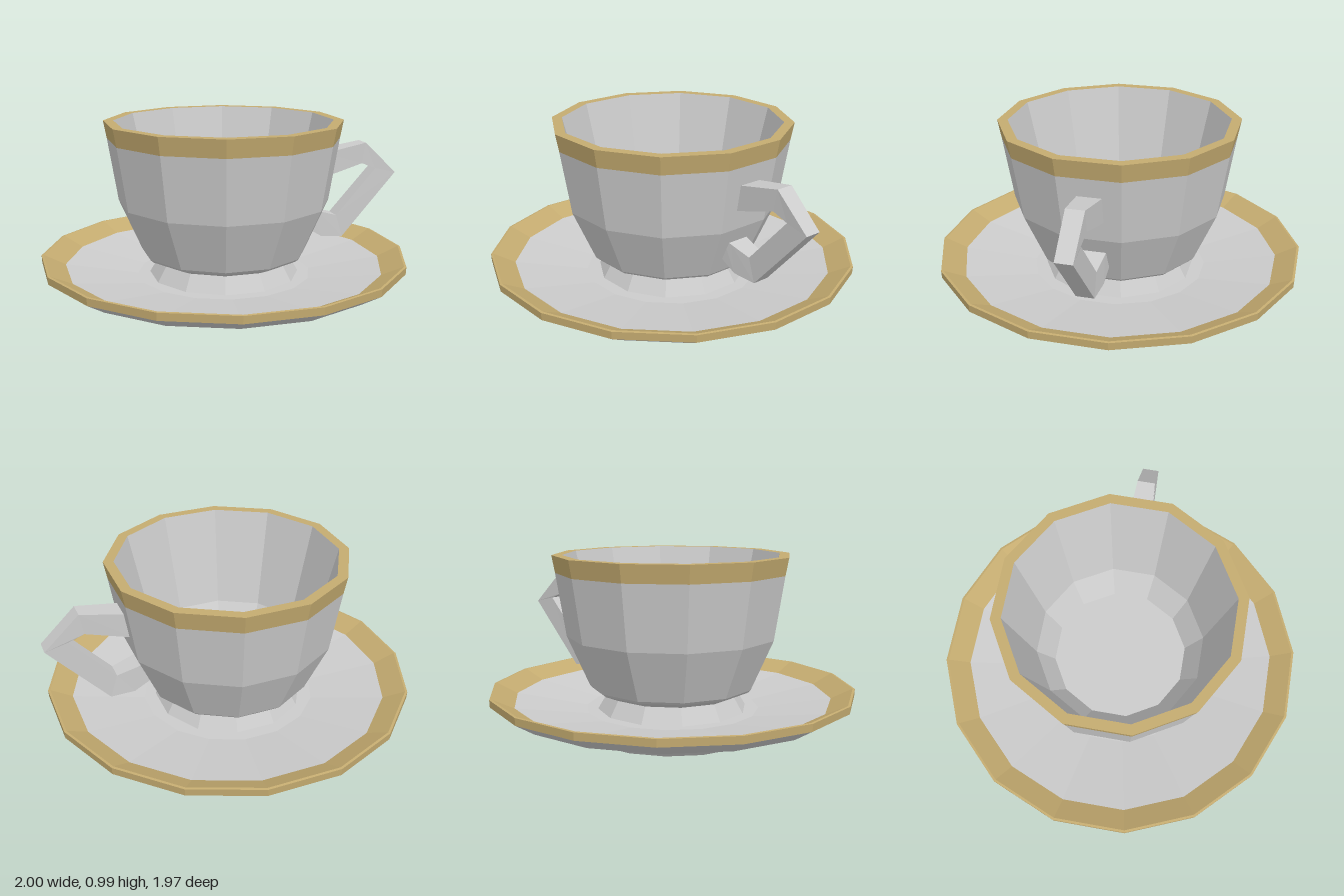
import * as THREE from 'three';

const CX = -0.0125; // the round parts sit slightly off centre to balance the handle
const white = new THREE.MeshStandardMaterial({ color: 0xcccccc, flatShading: true });
const gold = new THREE.MeshStandardMaterial({ color: 0xc4ab70, flatShading: true });

// Faceted ring from a profile of [distance to flat side, y]; flats face the axes
function turned(name, sides, profile, material) {
  const k = 1 / Math.cos(Math.PI / sides);
  const points = profile.map(([r, y]) => new THREE.Vector2(r * k, y));
  const mesh = new THREE.Mesh(new THREE.LatheGeometry(points, sides, Math.PI / sides), material);
  mesh.name = name;
  mesh.position.x = CX;
  return mesh;
}

// Rectangular loft through sections of [outer x, outer y, inner x, inner y, half width]
function loftedHandle(sections) {
  const positions = [];
  const index = [];
  for (const [ox, oy, ix, iy, w] of sections) {
    positions.push(ox, oy, w, ox, oy, -w, ix, iy, -w, ix, iy, w);
  }
  for (let s = 0; s < sections.length - 1; s++) {
    for (let j = 0; j < 4; j++) {
      const a = s * 4 + j, b = s * 4 + (j + 1) % 4;
      index.push(a, a + 4, b, b, a + 4, b + 4);
    }
  }
  const e = (sections.length - 1) * 4;
  index.push(0, 1, 2, 0, 2, 3, e, e + 2, e + 1, e, e + 3, e + 2);
  const geometry = new THREE.BufferGeometry();
  geometry.setAttribute('position', new THREE.Float32BufferAttribute(positions, 3));
  geometry.setIndex(index);
  geometry.computeVertexNormals();
  return geometry;
}

export function createModel() {
  const model = new THREE.Group();
  model.name = 'cupAndSaucer';

  // Saucer: foot and underside, gilded rim, upper dish
  const saucer = new THREE.Group();
  saucer.name = 'saucer';
  saucer.add(
    turned('saucerUnderside', 16, [[0, 0], [0.48, 0], [0.51, 0.03], [0.475, 0.07], [0.5, 0.073], [0.88, 0.145], [0.985, 0.21]], white),
    turned('saucerRim', 16, [[0.985, 0.21], [0.987, 0.25], [0.975, 0.252], [0.86, 0.195]], gold),
    turned('saucerDish', 16, [[0.86, 0.195], [0.47, 0.135], [0, 0.13]], white),
  );

  // Cup: flared foot and body, gilded rim, hollow inside
  const cup = new THREE.Group();
  cup.name = 'cup';
  cup.add(
    turned('cupBody', 12, [[0, 0.133], [0.4, 0.133], [0.35, 0.22], [0.425, 0.253], [0.44, 0.268], [0.558, 0.545], [0.611, 0.89]], white),
    turned('cupRim', 12, [[0.611, 0.89], [0.628, 0.985], [0.575, 0.985]], gold),
    turned('cupInside', 12, [[0.575, 0.985], [0.45, 0.45], [0.36, 0.3], [0, 0.3]], white),
  );

  // Angular handle, widening where it meets the cup
  const handle = new THREE.Mesh(loftedHandle([
    [0.55, 0.785, 0.54, 0.645, 0.066],
    [0.81, 0.83, 0.79, 0.713, 0.048],
    [1.0, 0.65, 0.875, 0.68, 0.045],
    [0.68, 0.293, 0.64, 0.42, 0.048],
    [0.55, 0.305, 0.525, 0.455, 0.06],
    [0.46, 0.36, 0.47, 0.475, 0.066],
  ]), white);
  handle.name = 'handle';
  cup.add(handle);

  model.add(saucer, cup);
  return model;
}
